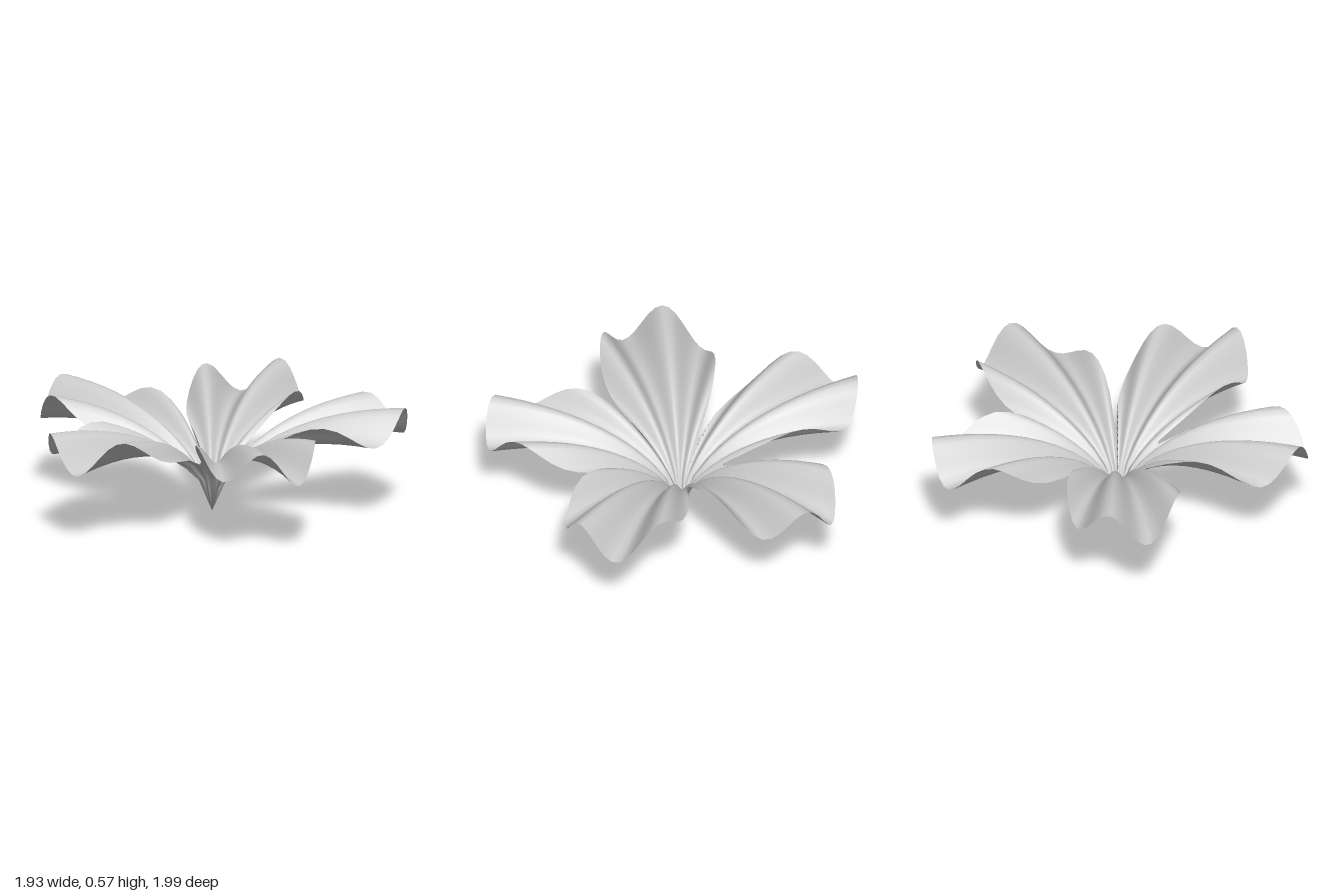
import * as THREE from 'three';

const PETALS = 5;
const COLUMNS = 180; // samples around the bloom
const RINGS = 12; // samples from centre to rim
const RADIUS = 1.035;
const GAP = THREE.MathUtils.degToRad(-1.5); // direction of the first gap between petals
const CREST = THREE.MathUtils.degToRad(40); // direction of one ripple crest

// Outline of the petals seen from above
const rim = (a) => RADIUS * Math.pow(Math.abs(Math.sin((a - GAP) * PETALS / 2)), 0.48);

// Trumpet profile plus ripples that grow towards the rim
const height = (r, a) =>
  0.76 * Math.exp(-0.46 * Math.pow(r, 1.5)) * Math.pow(r, 0.55)
  + 0.095 * r * Math.cos(3 * PETALS * (a - CREST));

function petalSurface() {
  const positions = [0, 0, 0];
  const index = [];
  const at = (ring, col) => (ring === 0 ? 0 : 1 + (ring - 1) * COLUMNS + (col % COLUMNS));

  for (let i = 1; i <= RINGS; i++) {
    for (let j = 0; j < COLUMNS; j++) {
      const a = GAP + ((j + 0.5) / COLUMNS) * Math.PI * 2;
      const r = rim(a) * i / RINGS;
      positions.push(r * Math.cos(a), height(r, a), r * Math.sin(a));
    }
  }
  for (let i = 0; i < RINGS; i++) {
    for (let j = 0; j < COLUMNS; j++) {
      const a = at(i, j), b = at(i, j + 1), c = at(i + 1, j), d = at(i + 1, j + 1);
      index.push(a, d, c);
      if (i > 0) index.push(a, b, d);
    }
  }
  const geometry = new THREE.BufferGeometry();
  geometry.setAttribute('position', new THREE.Float32BufferAttribute(positions, 3));
  geometry.setIndex(index);
  geometry.computeVertexNormals();
  return geometry;
}

export function createModel() {
  const group = new THREE.Group();
  group.name = 'flower';
  const material = new THREE.MeshStandardMaterial({ color: 0xcccccc, side: THREE.DoubleSide });

  // One continuous corolla of five rippled petals
  const petals = new THREE.Mesh(petalSurface(), material);
  petals.name = 'petals';
  petals.position.set(0.06, 0, -0.005);
  group.add(petals);
  return group;
}
